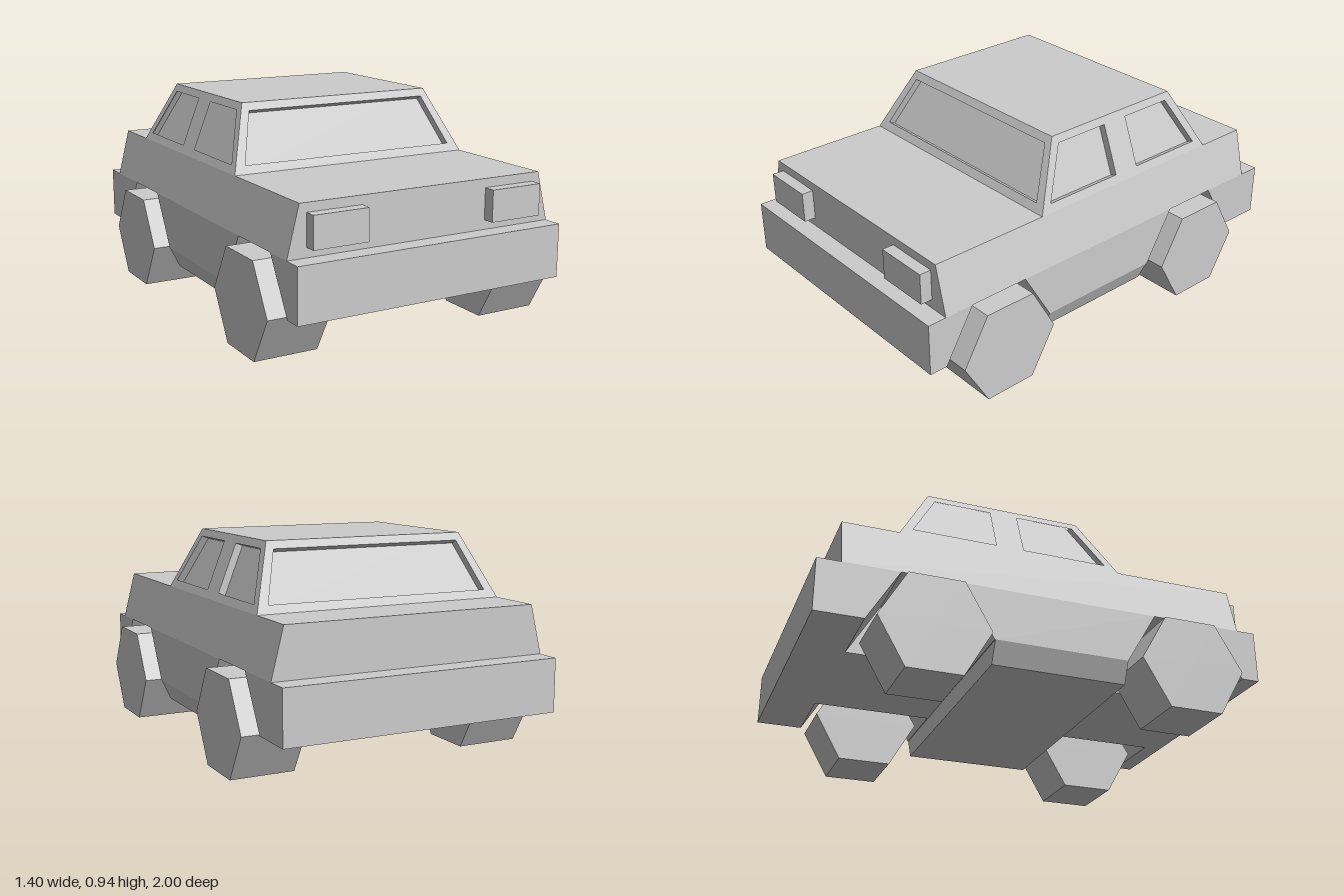
import * as THREE from 'three';

const material = new THREE.MeshStandardMaterial({ color: 0xcccccc, flatShading: true });

// Box whose bottom and top rectangles [x0, x1, z0, z1] may differ
function slab(name, y0, bottom, y1, top) {
  const geo = new THREE.BoxGeometry(1, 1, 1);
  const p = geo.attributes.position;
  for (let i = 0; i < p.count; i++) {
    const up = p.getY(i) > 0;
    const r = up ? top : bottom;
    p.setXYZ(i, p.getX(i) > 0 ? r[1] : r[0], up ? y1 : y0, p.getZ(i) > 0 ? r[3] : r[2]);
  }
  geo.computeVertexNormals();
  return named(name, geo);
}

function named(name, geo) {
  const mesh = new THREE.Mesh(geo, material);
  mesh.name = name;
  return mesh;
}

// Cabin dimensions
const BELT = 0.665, ROOF = 0.945, RECESS = 0.033;
const LOW = { x: 0.58, front: 0.36, back: -0.65 };
const HIGH = { x: 0.47, front: 0.21, back: -0.5 };
const TILT_END = Math.atan(0.15 / (ROOF - BELT));
const TILT_SIDE = Math.atan((LOW.x - HIGH.x) / (ROOF - BELT));

// Leaning cabin wall with window openings; points are [across, height]
function cabinWall(name, outline, windows, tilt, turn, x, z) {
  const toPoints = (list) =>
    list.map(([u, h]) => new THREE.Vector2(u, (h - BELT) / Math.cos(tilt)));
  const shape = new THREE.Shape(toPoints(outline));
  windows.forEach((w) => shape.holes.push(new THREE.Path(toPoints(w))));
  const geo = new THREE.ExtrudeGeometry(shape, { depth: RECESS, bevelEnabled: false });
  geo.translate(0, 0, -RECESS).rotateX(-tilt).rotateY(turn).translate(x, BELT, z);
  return named(name, geo);
}

export function createModel() {
  const car = new THREE.Group();
  car.name = 'car';

  // Lower body: full-width blocks with slanted ends that leave the wheel arches open
  const W = 0.635, A = 0.3, Y0 = 0.212, Y1 = 0.447;
  car.add(
    slab('frontBumper', Y0, [-W, W, 0.918, 1], Y1, [-W, W, 0.78, 1]),
    slab('lowerBody', Y0, [-W, W, -0.246, 0.36], Y1, [-W, W, -0.383, 0.5]),
    slab('rearBumper', Y0, [-W, W, -1, -0.79], Y1, [-W, W, -1, -0.65]),
    slab('frontArchInner', Y0, [-A, A, 0.36, 0.918], Y1, [-A, A, 0.5, 0.78]),
    slab('rearArchInner', Y0, [-A, A, -0.79, -0.246], Y1, [-A, A, -0.65, -0.383]),
    slab('underbody', 0.118, [-0.59, 0.59, -0.243, 0.36], Y0, [-W, W, -0.243, 0.36])
  );

  // Upper body with inward-leaning sides
  car.add(slab('upperBody', Y1, [-W, W, -0.897, 0.915], BELT, [-LOW.x, LOW.x, -0.897, 0.915]));

  // Front and rear cabin walls
  const endOutline = [[-LOW.x, BELT], [LOW.x, BELT], [HIGH.x, ROOF], [-HIGH.x, ROOF]];
  const endWindow = [[-0.522, 0.7], [0.522, 0.7], [0.445, 0.912], [-0.445, 0.912]];
  car.add(
    cabinWall('windscreenFrame', endOutline, [endWindow], TILT_END, 0, 0, LOW.front),
    cabinWall('rearWindowFrame', endOutline, [endWindow], TILT_END, Math.PI, 0, LOW.back)
  );

  // Side cabin walls, two windows each
  const sideOutline = [[LOW.front, BELT], [LOW.back, BELT], [HIGH.back, ROOF], [HIGH.front, ROOF]];
  const sideWindows = [
    [[0.3, 0.7], [-0.086, 0.7], [-0.086, 0.912], [0.183, 0.912]],
    [[-0.214, 0.7], [-0.588, 0.7], [-0.472, 0.912], [-0.214, 0.912]],
  ];
  for (const s of [1, -1]) {
    const flip = (list) => list.map(([z, h]) => [-s * z, h]);
    car.add(cabinWall(s > 0 ? 'leftCabinWall' : 'rightCabinWall', flip(sideOutline),
      sideWindows.map(flip), TILT_SIDE, s * Math.PI / 2, s * LOW.x, 0));
  }

  // Recessed glass: the cabin shape set in behind its walls
  const inZ = RECESS / Math.cos(TILT_END), inX = RECESS / Math.cos(TILT_SIDE);
  const inset = (c) => [-c.x + inX, c.x - inX, c.back + inZ, c.front - inZ];
  car.add(slab('windowGlass', BELT, inset(LOW), ROOF - 0.001, inset(HIGH)));

  // Roof panel
  const roof = new THREE.PlaneGeometry(HIGH.x * 2, HIGH.front - HIGH.back);
  roof.rotateX(-Math.PI / 2).translate(0, ROOF, (HIGH.front + HIGH.back) / 2);
  car.add(named('roof', roof));

  // Headlights and six-sided wheels
  for (const s of [1, -1]) {
    const side = s > 0 ? 'left' : 'right';
    const lamp = named(side + 'Headlight', new THREE.BoxGeometry(0.248, 0.138, 0.055));
    lamp.position.set(s * 0.424, 0.557, 0.94);
    car.add(lamp);
    for (const [end, z] of [['Front', 0.637], ['Rear', -0.517]]) {
      const wheel = named(side + end + 'Wheel', new THREE.CylinderGeometry(0.241, 0.241, 0.288, 6));
      wheel.rotation.z = Math.PI / 2;
      wheel.position.set(s * 0.556, 0.209, z);
      car.add(wheel);
    }
  }
  return car;
}
